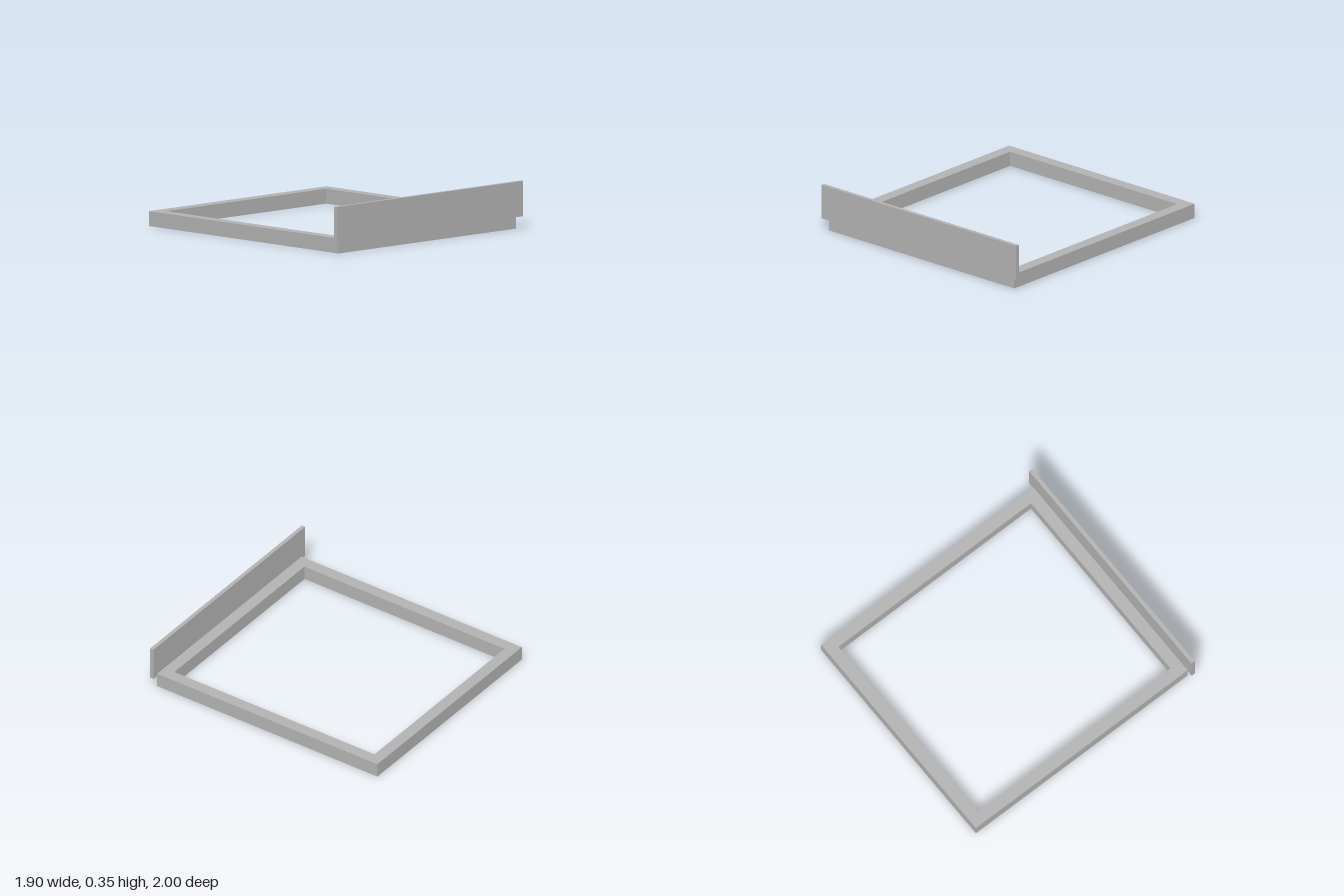
import * as THREE from 'three';

export function createModel() {
  const model = new THREE.Group();
  const grey = new THREE.MeshStandardMaterial({ color: 0xb2b2b2 });
  grey.name = 'grey';

  // Rectangle path; y of the shape becomes -z once laid flat
  const rectangle = (path, halfWidth, back, front) => {
    path.moveTo(-halfWidth, -front);
    path.lineTo(halfWidth, -front);
    path.lineTo(halfWidth, -back);
    path.lineTo(-halfWidth, -back);
    path.closePath();
    return path;
  };

  // Open rectangular base frame
  const outline = rectangle(new THREE.Shape(), 0.907, -1, 0.97);
  outline.holes.push(rectangle(new THREE.Path(), 0.817, -0.91, 0.88));
  const frameGeometry = new THREE.ExtrudeGeometry(outline, { depth: 0.11, bevelEnabled: false });
  frameGeometry.rotateX(-Math.PI / 2);
  const frame = new THREE.Mesh(frameGeometry, grey);
  frame.name = 'baseFrame';
  model.add(frame);

  // Upright board fixed to the front of the frame
  const board = new THREE.Mesh(new THREE.BoxGeometry(1.905, 0.26, 0.03), grey);
  board.position.set(0, 0.22, 0.985);
  board.name = 'frontBoard';
  model.add(board);

  return model;
}
